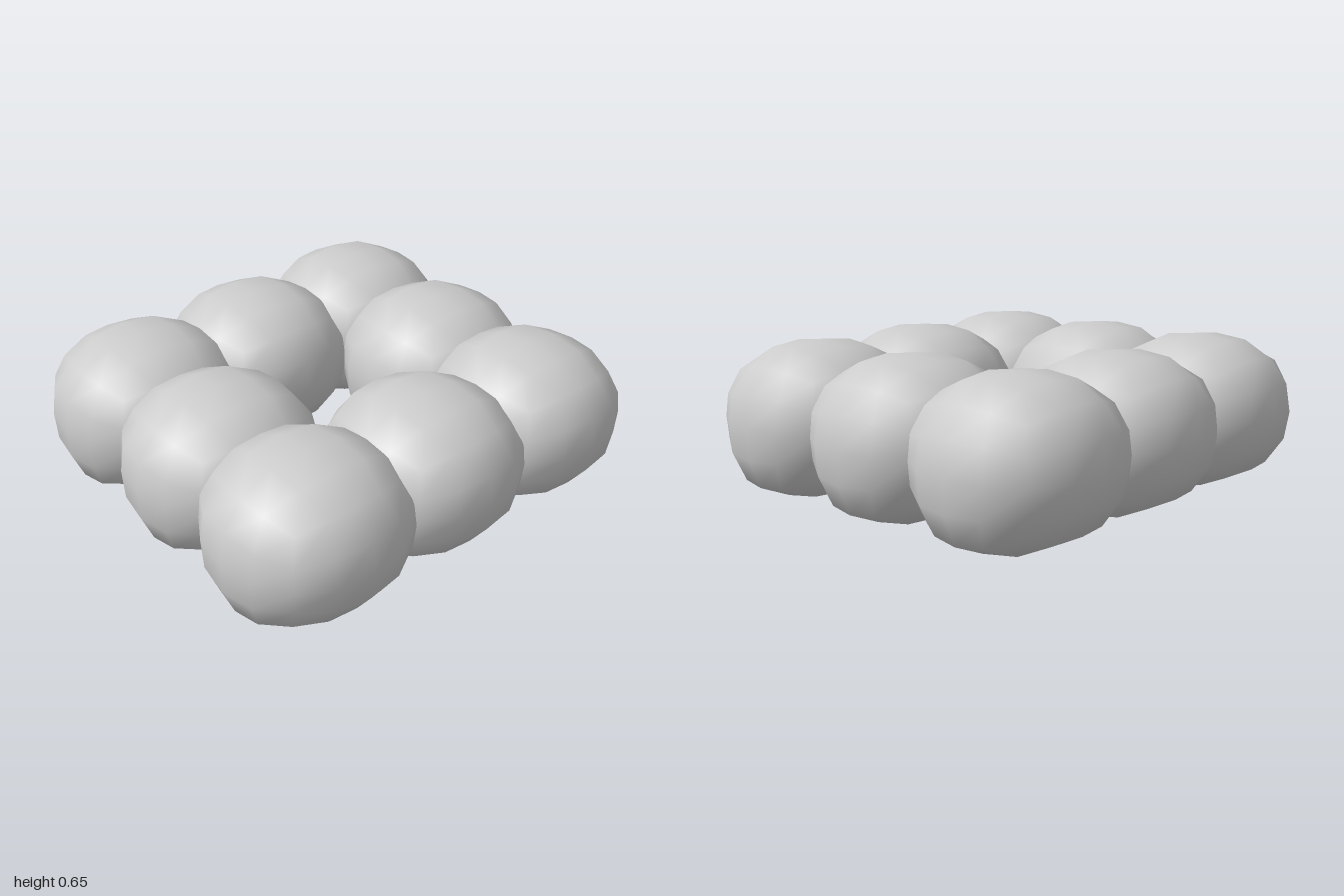
import * as THREE from 'three';
import { mergeVertices } from 'three/addons/utils/BufferGeometryUtils.js';

// Rounded blob: a subdivided cube inflated into a slightly boxy ellipsoid
function blobGeometry(rx, ry, rz) {
  let geo = new THREE.BoxGeometry(2, 2, 2, 4, 4, 4);
  geo.deleteAttribute('uv');
  geo.deleteAttribute('normal');
  geo = mergeVertices(geo);
  const pos = geo.attributes.position;
  const power = 2.27;
  const warp = (v) => Math.tan(v * Math.PI / 4);
  for (let i = 0; i < pos.count; i++) {
    let [x, y, z] = [pos.getX(i), pos.getY(i), pos.getZ(i)].map(warp);
    const len = (Math.abs(x) ** power + Math.abs(y) ** power + Math.abs(z) ** power) ** (1 / power);
    x /= len; y /= len; z /= len;
    // The underside sags outwards to the sides
    if (y < 0) {
      const sag = y * y * (1 - z * z);
      const drop = 1 + 0.2 * x * x * sag;
      x *= 1 + 0.33 * sag;
      y *= drop;
    }
    pos.setXYZ(i, x * rx, y * ry, z * rz);
  }
  geo.computeVertexNormals();
  return geo;
}

export function createModel() {
  const group = new THREE.Group();
  group.name = 'blobRing';
  const material = new THREE.MeshStandardMaterial({ color: 0xcccccc });
  const geometry = blobGeometry(0.4, 0.327, 0.397);

  // Eight overlapping blobs around an open centre
  const rows = ['back', 'middle', 'front'];
  const columns = ['Right', 'Centre', 'Left'];
  for (let r = 0; r < 3; r++) {
    for (let c = 0; c < 3; c++) {
      if (r === 1 && c === 1) continue;
      const blob = new THREE.Mesh(geometry, material);
      blob.name = `${rows[r]}${columns[c]}Blob`;
      blob.position.set((c - 1) * 0.6, 0.332, (r - 1) * 0.556);
      group.add(blob);
    }
  }
  return group;
}
